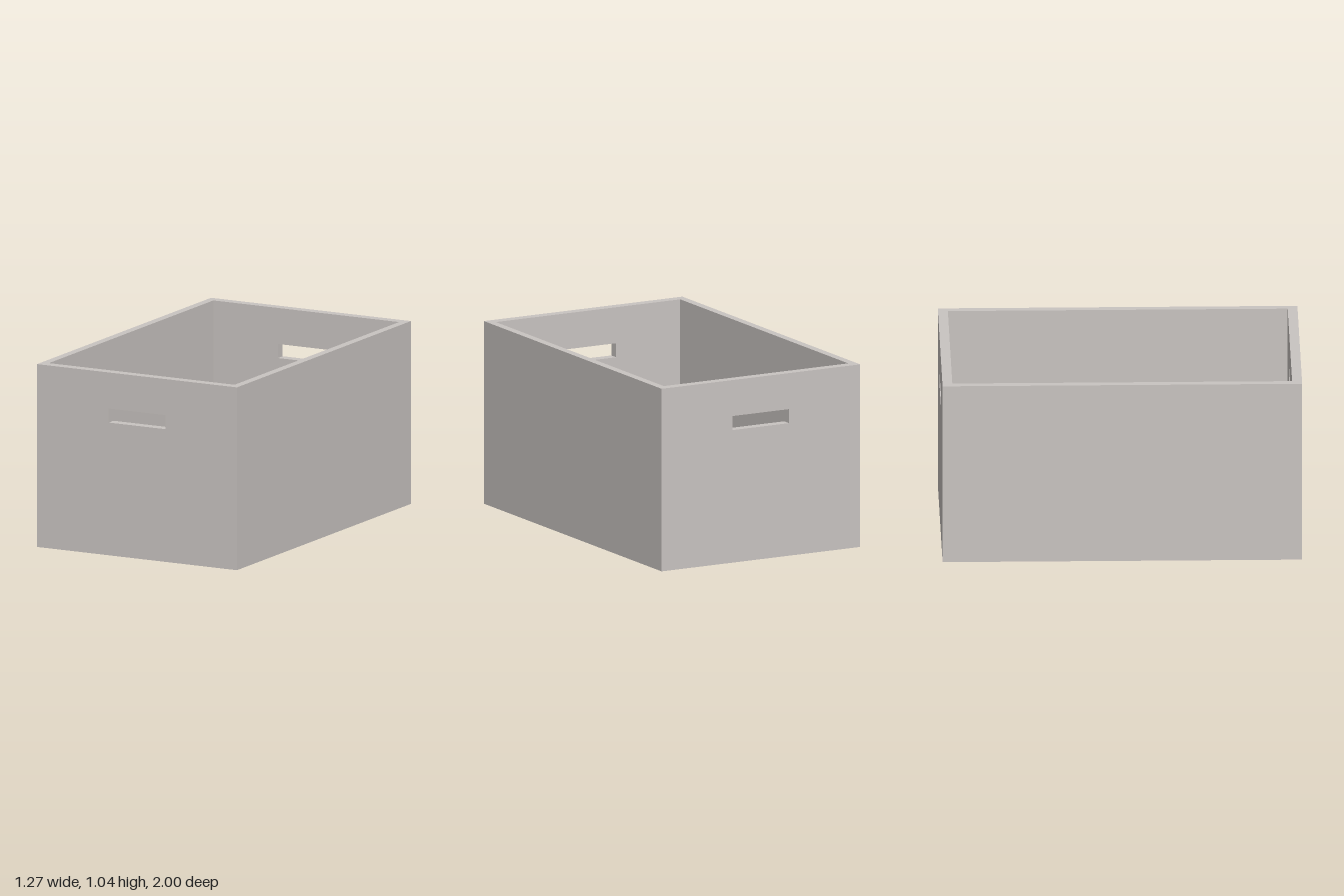
import * as THREE from 'three';

const W = 1.27, H = 1.04, D = 2; // outer size
const SIDE = 0.045, END = 0.055, FLOOR = 0.05; // panel thicknesses

export function createModel() {
  const group = new THREE.Group();
  group.name = 'storageCrate';
  const warmGrey = new THREE.MeshStandardMaterial({ color: 0xc9c4c1 });
  warmGrey.name = 'warmGrey';

  const add = (name, geometry, x, y, z) => {
    const mesh = new THREE.Mesh(geometry, warmGrey);
    mesh.name = name;
    mesh.position.set(x, y, z);
    group.add(mesh);
  };

  const rectangle = (path, x0, y0, x1, y1) =>
    path.moveTo(x0, y0).lineTo(x1, y0).lineTo(x1, y1).lineTo(x0, y1).closePath();

  // End panels, each with a handle slot
  const endShape = new THREE.Shape();
  rectangle(endShape, -W / 2, 0, W / 2, H);
  const slot = new THREE.Path();
  rectangle(slot, -0.18, 0.755, 0.18, 0.835);
  endShape.holes.push(slot);
  const endPanel = new THREE.ExtrudeGeometry(endShape, { depth: END, bevelEnabled: false });
  add('frontPanel', endPanel, 0, 0, D / 2 - END);
  add('backPanel', endPanel, 0, 0, -D / 2);

  // Side panels fit between the ends
  const innerDepth = D - 2 * END;
  const sidePanel = new THREE.BoxGeometry(SIDE, H, innerDepth);
  add('leftPanel', sidePanel, (W - SIDE) / 2, H / 2, 0);
  add('rightPanel', sidePanel, -(W - SIDE) / 2, H / 2, 0);

  // Floor fits inside the walls
  add('floor', new THREE.BoxGeometry(W - 2 * SIDE, FLOOR, innerDepth), 0, FLOOR / 2, 0);

  return group;
}
